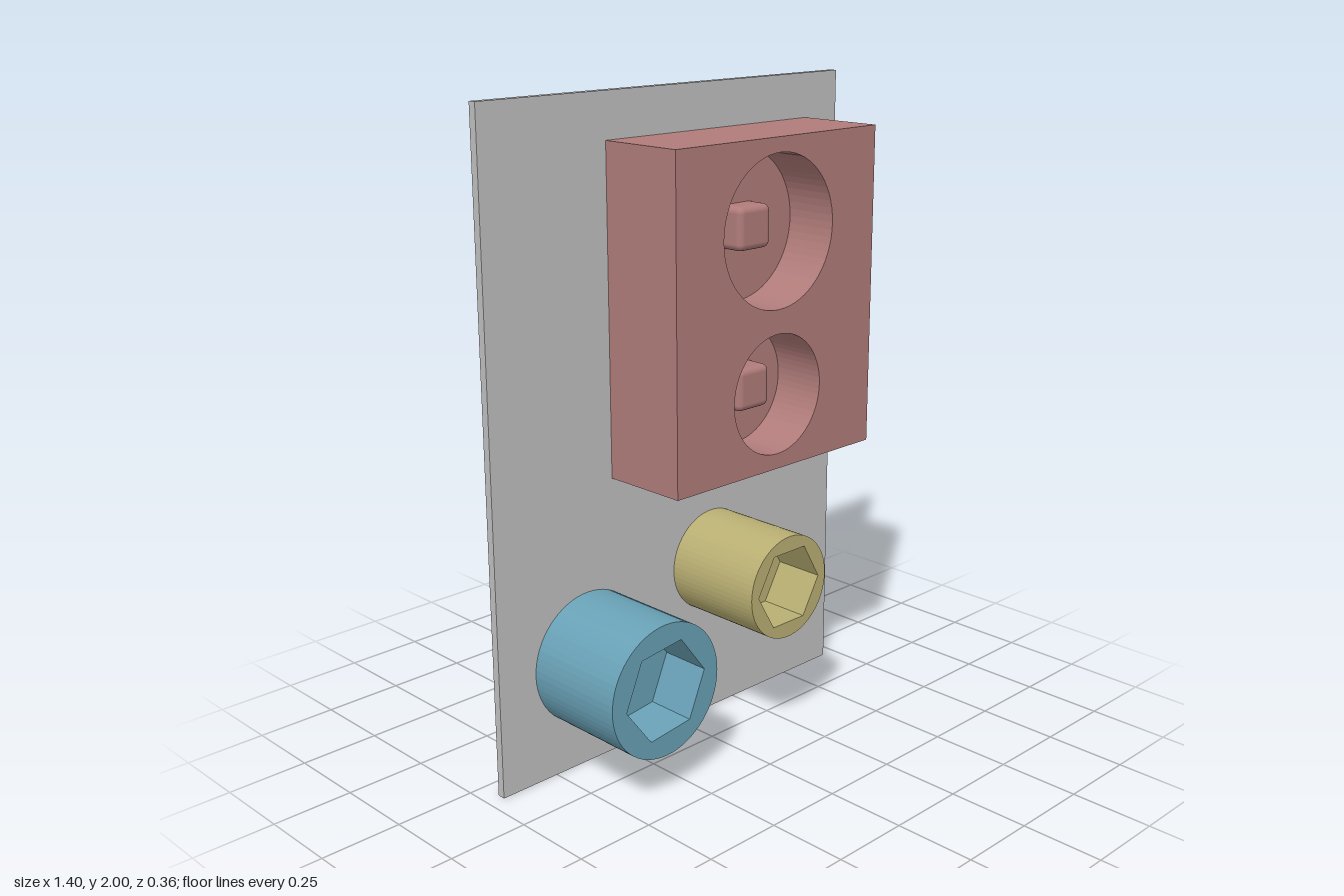
import * as THREE from 'three';
import { RoundedBoxGeometry } from 'three/addons/geometries/RoundedBoxGeometry.js';

const BACK = -0.18, PANEL_FRONT = -0.155;
const SEGMENTS = 32;

const material = (name, color) => {
  const m = new THREE.MeshStandardMaterial({ color });
  m.name = name;
  return m;
};

const addMesh = (parent, name, geometry, mat) => {
  const mesh = new THREE.Mesh(geometry, mat);
  mesh.name = name;
  parent.add(mesh);
  return mesh;
};

// Outlines, each written into a Shape or a Path
const circle = (x, y, r) => (p) => p.absarc(x, y, r, 0, Math.PI * 2);
const rectangle = (x0, y0, x1, y1) => (p) =>
  p.moveTo(x0, y0).lineTo(x1, y0).lineTo(x1, y1).lineTo(x0, y1).closePath();
const hexagon = (x, y, r, turn) => (p) => {
  for (let i = 0; i < 6; i++) {
    const a = turn + (i * Math.PI) / 3;
    const px = x + r * Math.cos(a), py = y + r * Math.sin(a);
    if (i === 0) p.moveTo(px, py);
    else p.lineTo(px, py);
  }
  p.closePath();
};
const draw = (path, outline) => {
  outline(path);
  return path;
};

// Solid standing on the panel, with blind recesses sunk into its front face
function recessedBlock(name, outline, recesses, front, depth, mat) {
  const group = new THREE.Group();
  group.name = name;
  const shape = draw(new THREE.Shape(), outline);
  recesses.forEach((r) => shape.holes.push(draw(new THREE.Path(), r)));
  const body = new THREE.ExtrudeGeometry(shape, {
    depth: front - PANEL_FRONT, bevelEnabled: false, curveSegments: SEGMENTS,
  });
  addMesh(group, name + 'Body', body, mat).position.z = PANEL_FRONT;
  recesses.forEach((r) => {
    const floor = new THREE.ShapeGeometry(draw(new THREE.Shape(), r), SEGMENTS);
    addMesh(group, name + 'RecessFloor', floor, mat).position.z = front - depth;
  });
  return group;
}

export function createModel() {
  const model = new THREE.Group();
  model.name = 'wallPanel';
  const grey = material('panelGrey', 0xc0c0c0);
  const red = material('dustyRed', 0xb07c7a);
  const blue = material('tealBlue', 0x69a1b6);
  const yellow = material('mutedYellow', 0xb9af73);

  // Backing panel
  addMesh(model, 'panel', new THREE.BoxGeometry(1.4, 2, PANEL_FRONT - BACK), grey)
    .position.set(0, 1, (BACK + PANEL_FRONT) / 2);

  // Block with two round sockets, each holding a rounded square peg
  const sockets = [[0.15, 1.593, 0.227], [0.15, 1.11, 0.183]];
  const block = recessedBlock('socketBlock', rectangle(-0.26, 0.88, 0.562, 1.864),
    sockets.map((s) => circle(...s)), 0.125, 0.17, red);
  sockets.forEach(([x, y]) => {
    addMesh(block, 'peg', new RoundedBoxGeometry(0.13, 0.13, 0.13, 3, 0.02), red)
      .position.set(x, y, -0.035);
  });
  model.add(block);

  // Round posts with hexagonal recesses
  model.add(recessedBlock('largePost', circle(-0.362, 0.345, 0.205),
    [hexagon(-0.362, 0.345, 0.153, 0.12)], 0.18, 0.16, blue));
  model.add(recessedBlock('smallPost', circle(0.15, 0.515, 0.163),
    [hexagon(0.15, 0.515, 0.132, 0)], 0.18, 0.16, yellow));

  return model;
}
